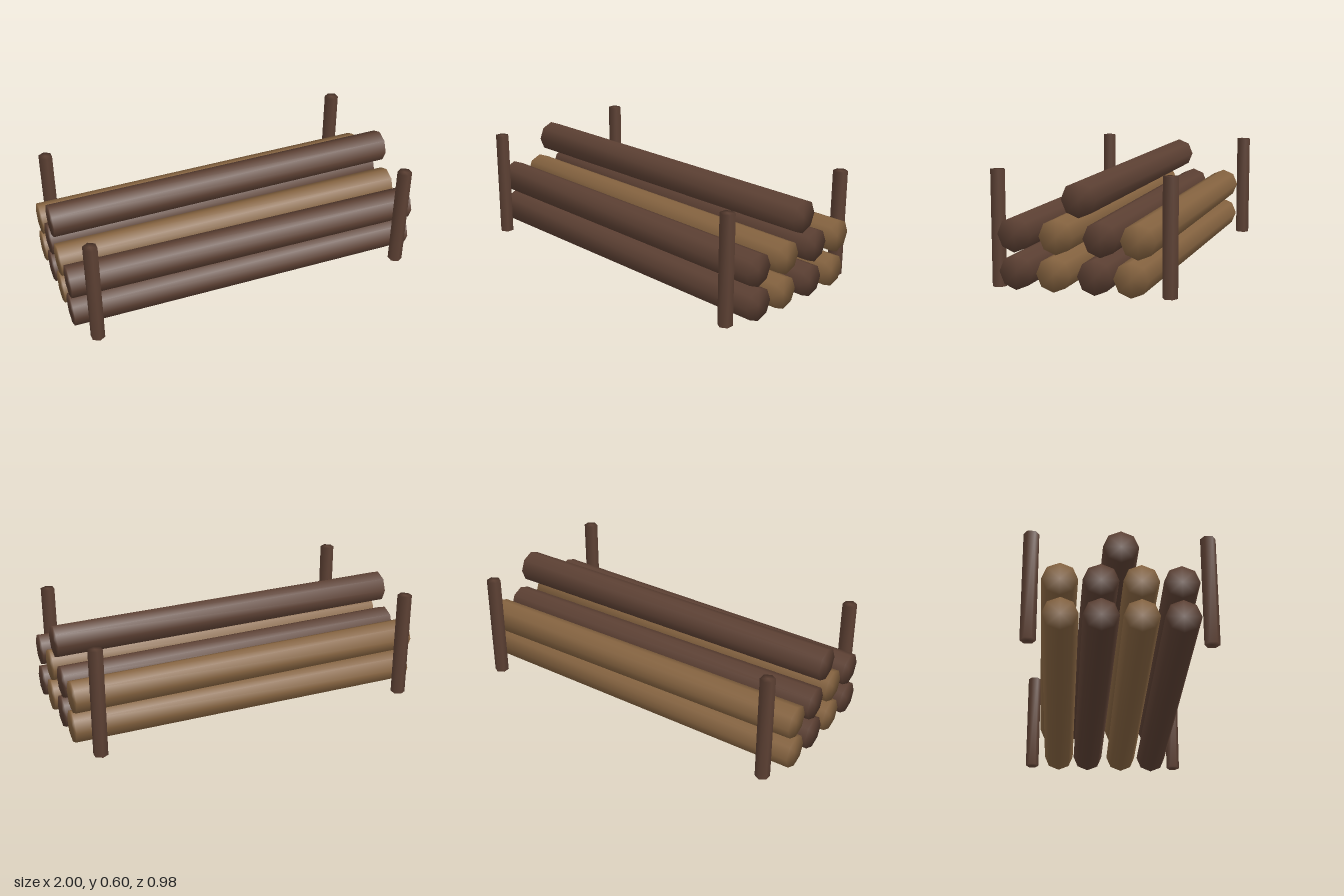
import * as THREE from 'three';
import { mergeVertices } from 'three/addons/utils/BufferGeometryUtils.js';

// Cylinder whose caps share vertices with the sides, for soft shading throughout
function softCylinder(radius, length, sides) {
  const geometry = new THREE.CylinderGeometry(radius, radius, length, sides);
  geometry.deleteAttribute('uv');
  geometry.deleteAttribute('normal');
  const merged = mergeVertices(geometry);
  merged.computeVertexNormals();
  return merged;
}

export function createModel() {
  const group = new THREE.Group();
  group.name = 'logPile';

  const darkBark = new THREE.MeshStandardMaterial({ name: 'darkBark', color: 0x5c4033 });
  const lightBark = new THREE.MeshStandardMaterial({ name: 'lightBark', color: 0x856340 });

  // Logs: height, z at the -x end, z at the +x end, bark
  const logs = [
    [0.10, 0.302, 0.316, darkBark],
    [0.10, 0.100, 0.119, lightBark],
    [0.10, -0.098, -0.095, darkBark],
    [0.10, -0.297, -0.281, lightBark],
    [0.29, 0.299, 0.324, darkBark],
    [0.29, 0.100, 0.104, lightBark],
    [0.29, -0.100, -0.125, darkBark],
    [0.29, -0.302, -0.316, lightBark],
    [0.48, -0.001, -0.015, darkBark],
  ];
  const logGeometry = softCylinder(0.09, 2, 8).rotateZ(Math.PI / 2);
  logs.forEach(([y, zStart, zEnd, bark], i) => {
    const log = new THREE.Mesh(logGeometry, bark);
    log.name = `log${i + 1}`;
    log.position.set(0, y, (zStart + zEnd) / 2);
    log.rotation.y = -Math.atan2(zEnd - zStart, 2);
    group.add(log);
  });

  // Corner posts holding the stack
  const postGeometry = softCylinder(0.04, 0.6, 6);
  for (const x of [-0.9, 0.9]) {
    for (const z of [-0.45, 0.45]) {
      const post = new THREE.Mesh(postGeometry, darkBark);
      post.name = `${z > 0 ? 'front' : 'back'}${x > 0 ? 'Left' : 'Right'}Post`;
      post.position.set(x, 0.3, z);
      group.add(post);
    }
  }
  return group;
}
